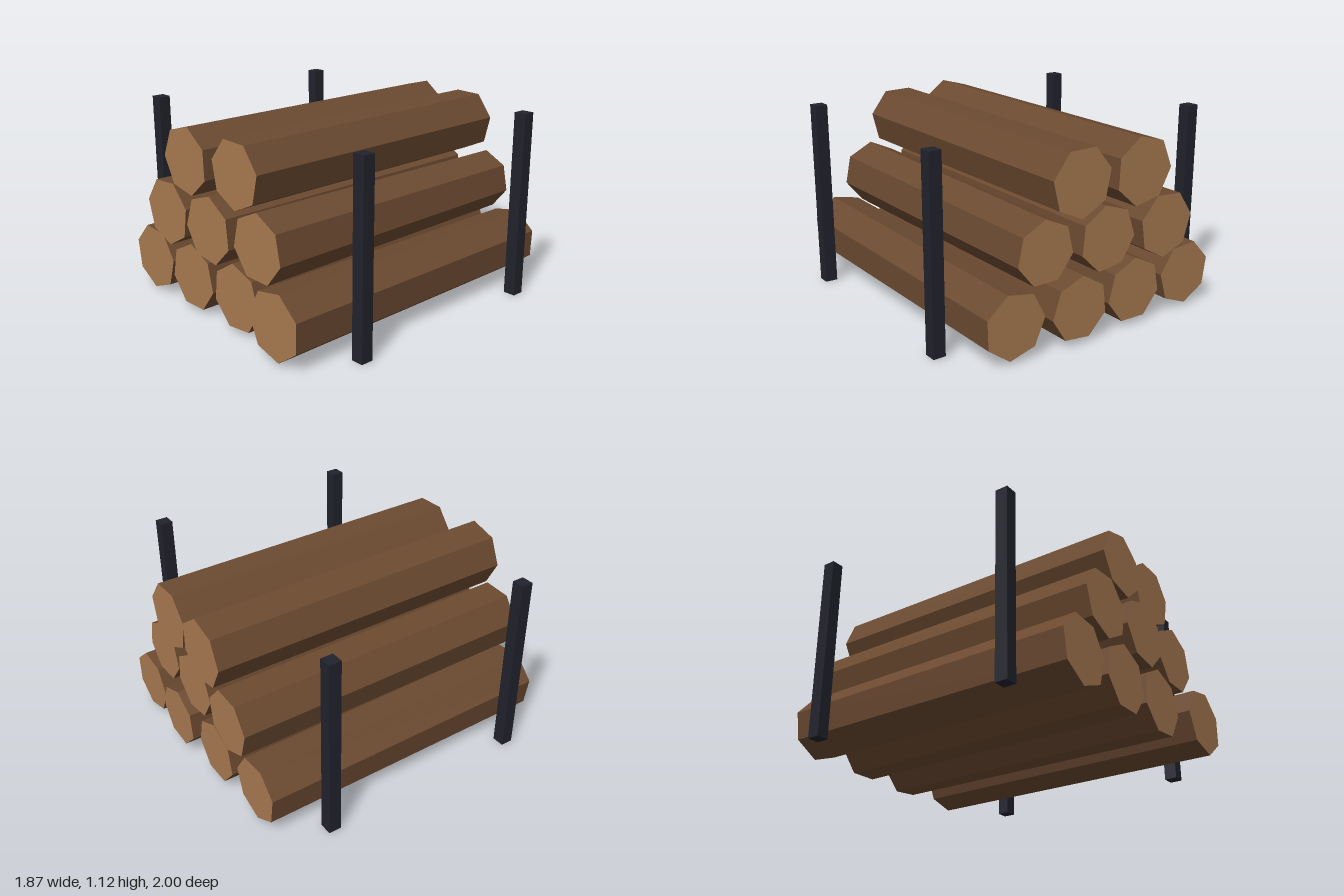
import * as THREE from 'three';

export function createModel() {
  const model = new THREE.Group();
  model.name = 'logStack';

  const material = (name, color) => {
    const m = new THREE.MeshStandardMaterial({ color, flatShading: true });
    m.name = name;
    return m;
  };
  const bark = material('bark', 0x6b4a30);
  const cutWood = material('cutWood', 0xa87a50);
  const postPaint = material('postPaint', 0x22222d);

  // Logs: x, y, angle of one corner in degrees, back end z, front end z, back radius
  const logs = [
    [-0.614, 0.21, 265.7, -0.945, 0.92, 0.191],
    [-0.205, 0.21, 91, -0.96, 0.93, 0.19],
    [0.205, 0.21, 96, -0.985, 0.93, 0.187],
    [0.613, 0.21, 75, -0.96, 1.0, 0.191],
    [-0.411, 0.558, 273.8, -0.98, 0.945, 0.193],
    [0, 0.558, 83, -0.96, 0.955, 0.19],
    [0.407, 0.558, 89, -0.94, 0.935, 0.184],
    [-0.206, 0.908, 79.6, -1.0, 0.945, 0.197],
    [0.204, 0.908, 268.8, -0.98, 0.915, 0.197],
  ];
  const frontRadius = 0.2;
  logs.forEach(([x, y, corner, back, front, backRadius], i) => {
    const geometry = new THREE.CylinderGeometry(frontRadius, backRadius, front - back, 7);
    geometry.rotateX(Math.PI / 2); // front end to +z, first corner pointing down
    geometry.rotateZ(THREE.MathUtils.degToRad(corner - 270));
    const log = new THREE.Mesh(geometry, [bark, cutWood, cutWood]);
    log.name = `log${i + 1}`;
    log.position.set(x, y, (front + back) / 2);
    model.add(log);
  });

  // Four upright posts beside the stack
  const postHeight = 1.12;
  const postGeometry = new THREE.BoxGeometry(0.075, postHeight, 0.075);
  for (const [sideName, x] of [['left', 0.897], ['right', -0.897]]) {
    for (const [endName, z] of [['Front', 0.64], ['Back', -0.64]]) {
      const post = new THREE.Mesh(postGeometry, postPaint);
      post.name = `${sideName}${endName}Post`;
      post.position.set(x, postHeight / 2, z);
      model.add(post);
    }
  }

  return model;
}
